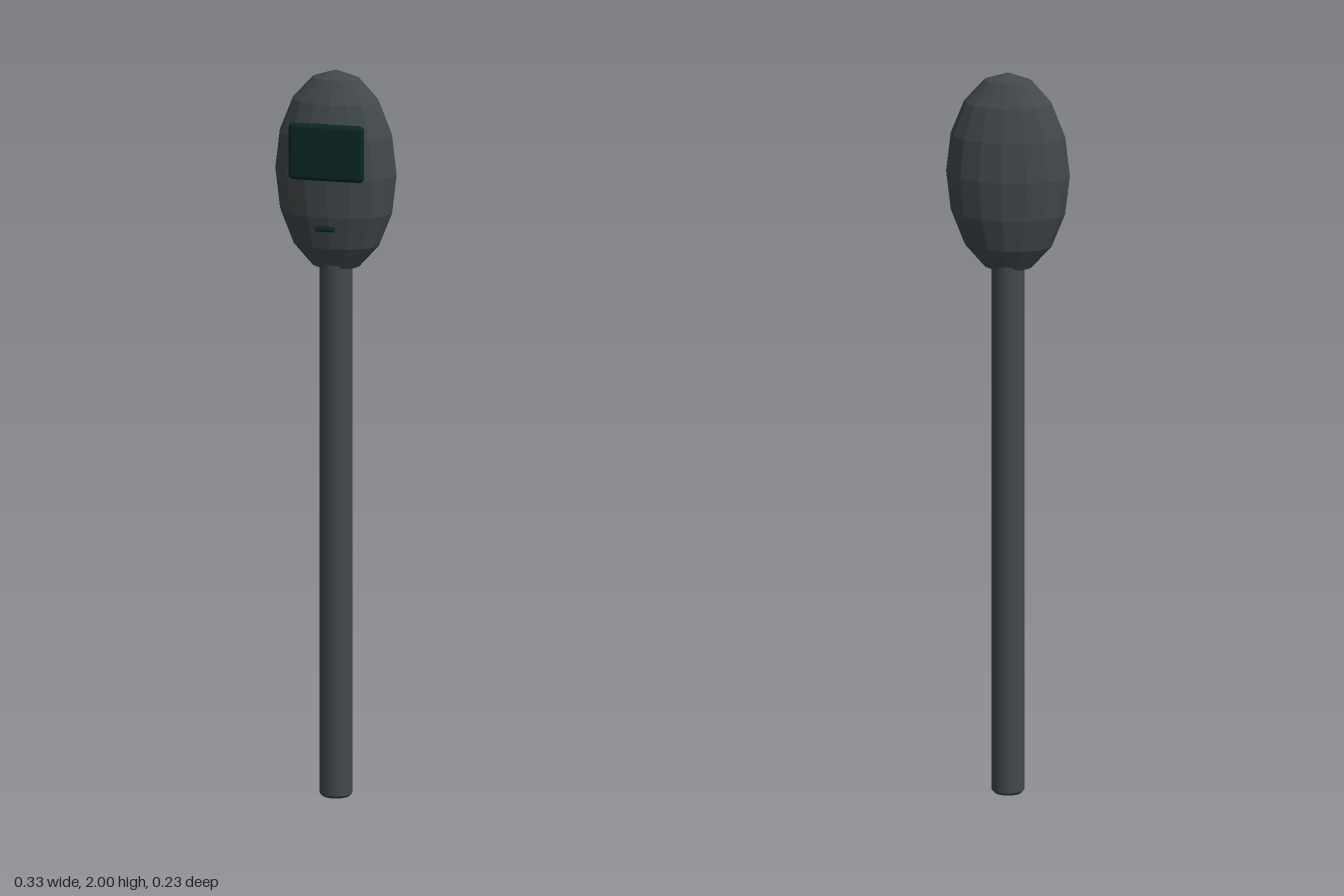
import * as THREE from 'three';
import { RoundedBoxGeometry } from 'three/addons/geometries/RoundedBoxGeometry.js';

export function createModel() {
  const group = new THREE.Group();
  const shell = new THREE.MeshStandardMaterial({ color: 0x42484b, flatShading: true });
  shell.name = 'charcoal shell';
  const glass = new THREE.MeshStandardMaterial({ color: 0x0a2626 });
  glass.name = 'dark teal glass';

  const add = (name, geometry, material, x, y, z) => {
    const mesh = new THREE.Mesh(geometry, material);
    mesh.name = name;
    mesh.position.set(x, y, z);
    group.add(mesh);
    return mesh;
  };

  const axisZ = -0.015;

  // Faceted egg-shaped head, flattened front to back
  const head = new THREE.SphereGeometry(1, 16, 8);
  head.scale(0.167, 0.28, 0.102);
  add('head', head, shell, 0, 1.72, axisZ);

  // Round pole with a small bevel at the foot
  const r = 0.044;
  const profile = [[0, 0], [r - 0.008, 0], [r, 0.008], [r, 1.5], [0, 1.5]]
    .map(([x, y]) => new THREE.Vector2(x, y));
  add('pole', new THREE.LatheGeometry(profile, 24), shell, 0, 0, axisZ);

  // Face screen with rounded rim
  add('screen', new RoundedBoxGeometry(0.206, 0.156, 0.026, 3, 0.0125), glass, 0, 1.797, 0.09);

  // Small mouth bar standing in front of the head
  add('mouth', new RoundedBoxGeometry(0.052, 0.012, 0.022, 3, 0.0055), glass, 0, 1.59, 0.105);

  return group;
}
